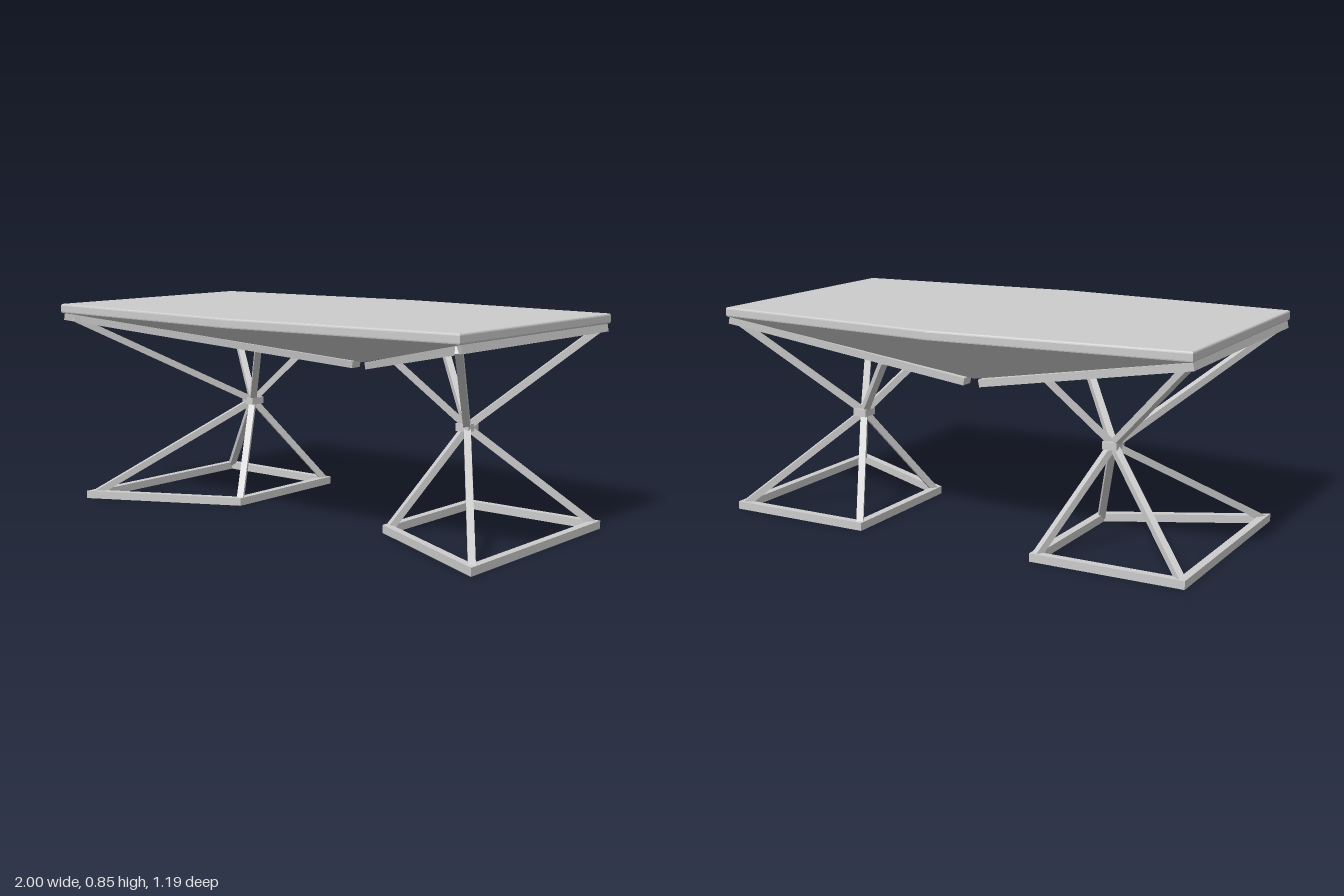
import * as THREE from 'three';
import { ConvexGeometry } from 'three/addons/geometries/ConvexGeometry.js';

const V = (x, y, z) => new THREE.Vector3(x, y, z);
const material = new THREE.MeshStandardMaterial({ color: 0xcccccc });

function addMesh(parent, name, geometry) {
  const mesh = new THREE.Mesh(geometry, material);
  mesh.name = name;
  parent.add(mesh);
  return mesh;
}

// Square bar between two points
function addBar(parent, name, a, b, size) {
  const mesh = addMesh(parent, name, new THREE.BoxGeometry(size, size, a.distanceTo(b)));
  mesh.position.copy(a).lerp(b, 0.5);
  mesh.lookAt(b);
}

// Move every edge of a counter-clockwise polygon inwards
function inset(points, d) {
  return points.map((p, i) => {
    const prev = points[(i + points.length - 1) % points.length];
    const next = points[(i + 1) % points.length];
    const e = p.clone().sub(prev).normalize();
    const f = next.clone().sub(p).normalize();
    const bisector = new THREE.Vector2(-e.y - f.y, e.x + f.x);
    return p.clone().addScaledVector(bisector, d / (1 + e.dot(f)));
  });
}

// Flat mitred frame through planar corners, thickened along the normal
function addFrame(parent, name, corners, normal, width, depth) {
  const n = normal.clone().normalize();
  const u = corners[1].clone().sub(corners[0]).normalize();
  const v = n.clone().cross(u);
  const flat = corners.map((c) => {
    const r = c.clone().sub(corners[0]);
    return new THREE.Vector2(r.dot(u), r.dot(v));
  });
  if (THREE.ShapeUtils.isClockWise(flat)) flat.reverse();
  const shape = new THREE.Shape(flat);
  shape.holes.push(new THREE.Path(inset(flat, width)));
  const geometry = new THREE.ExtrudeGeometry(shape, { depth, bevelEnabled: false });
  geometry.applyMatrix4(new THREE.Matrix4().makeBasis(u, v, n).setPosition(corners[0]));
  addMesh(parent, name, geometry);
}

export function createModel() {
  const table = new THREE.Group();
  table.name = 'table';

  // Six-sided top with softened edges
  const outline = [[-1, -0.515], [0, -0.593], [1, -0.515], [1, 0.515], [0, 0.593], [-1, 0.515]];
  const bevel = 0.008;
  const top = new THREE.ExtrudeGeometry(
    new THREE.Shape(outline.map(([x, z]) => new THREE.Vector2(x, -z))),
    { depth: 0.04 - 2 * bevel, bevelThickness: bevel, bevelSize: bevel, bevelOffset: -bevel, bevelSegments: 3 }
  );
  top.rotateX(-Math.PI / 2).translate(0, 0.805 + bevel, 0);
  addMesh(table, 'tabletop', top);

  // Faceted underside tapering to a point behind the centre
  addMesh(table, 'underside', new ConvexGeometry([
    ...outline.map(([x, z]) => V(x * 0.995, 0.808, z * 0.995)),
    V(0, 0.605, -0.25),
  ]));

  for (const s of [1, -1]) {
    const side = new THREE.Group();
    side.name = s > 0 ? 'leftSupport' : 'rightSupport';
    table.add(side);

    // Blunt triangular frame against the sloping underside
    addFrame(side, 'upperFrame', [
      V(s * 0.995, 0.806, 0.5), V(s * 0.995, 0.806, -0.5),
      V(s * 0.03, 0.609, -0.277), V(s * 0.03, 0.609, -0.223),
    ], V(s * 0.2, -0.98, 0), 0.035, 0.03);

    // Four-sided floor frame
    addFrame(side, 'floorFrame', [
      V(s * 0.99, 0, 0.41), V(s * 0.99, 0, -0.5),
      V(s * 0.375, 0, -0.5), V(s * 0.375, 0, 0.1),
    ], V(0, 1, 0), 0.032, 0.032);

    // Hub with bars fanning up and down
    const hub = V(s * 0.565, 0.4, -0.19);
    addMesh(side, 'hub', new THREE.BoxGeometry(0.06, 0.03, 0.07)).position.copy(hub);
    const upperEnds = [[0.97, 0.785, 0.475], [0.97, 0.785, -0.475], [0.36, 0.655, 0.0], [0.36, 0.655, -0.34]];
    const lowerEnds = [[0.97, 0.02, 0.375], [0.97, 0.02, -0.48], [0.395, 0.02, 0.08], [0.395, 0.02, -0.48]];
    for (const [x, y, z] of upperEnds) addBar(side, 'upperBar', hub, V(s * x, y, z), 0.027);
    for (const [x, y, z] of lowerEnds) addBar(side, 'lowerBar', hub, V(s * x, y, z), 0.027);
  }
  return table;
}
